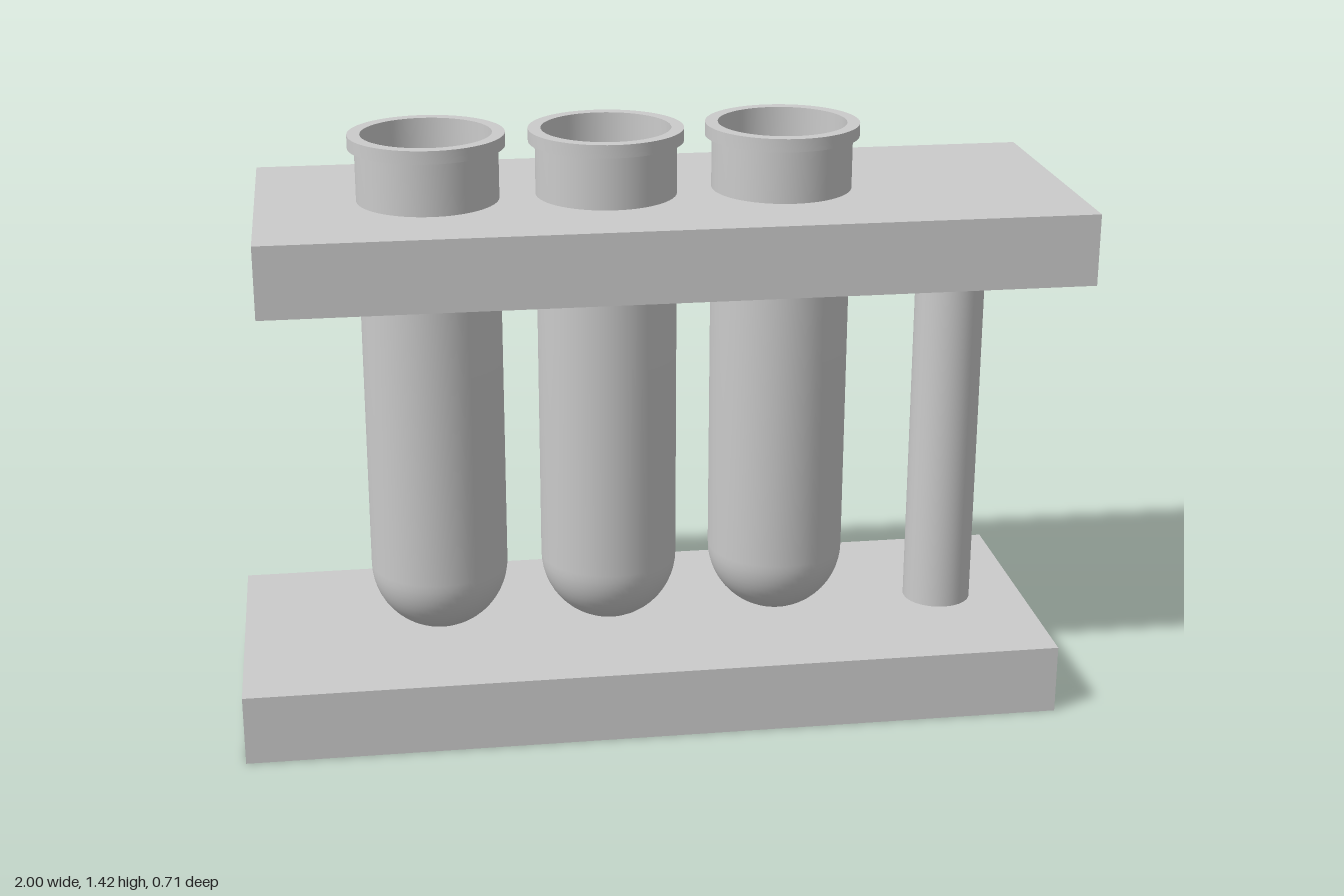
import * as THREE from 'three';
import { toCreasedNormals } from 'three/addons/utils/BufferGeometryUtils.js';

const material = new THREE.MeshStandardMaterial({ color: 0xcccccc });
const tubeX = [-0.515, -0.095, 0.325];
const tubeRadius = 0.167, wall = 0.014, rimRadius = 0.183;
const depth = 0.71, thickness = 0.17;
const shelfBottom = 1.09, tubeBottom = 0.175, tubeTop = 1.417;

function add(parent, name, geometry, x = 0, y = 0, z = 0) {
  const mesh = new THREE.Mesh(geometry, material);
  mesh.name = name;
  mesh.position.set(x, y, z);
  parent.add(mesh);
  return mesh;
}

// Slab with round holes for the tubes, lying flat with its underside at y = 0
function shelfGeometry(x0, x1) {
  const h = depth / 2;
  const shape = new THREE.Shape([
    new THREE.Vector2(x0, -h), new THREE.Vector2(x1, -h),
    new THREE.Vector2(x1, h), new THREE.Vector2(x0, h),
  ]);
  for (const x of tubeX) {
    shape.holes.push(new THREE.Path().absarc(x, 0, tubeRadius, 0, Math.PI * 2, true));
  }
  const geometry = new THREE.ExtrudeGeometry(shape, { depth: thickness, bevelEnabled: false, curveSegments: 24 });
  return geometry.rotateX(-Math.PI / 2);
}

// Hollow tube with a round bottom and a lipped mouth
function tubeGeometry() {
  const centreY = tubeBottom + tubeRadius;
  const inner = tubeRadius - wall;
  const steps = 14;
  const arc = (r) => Array.from({ length: steps + 1 }, (_, i) => {
    const a = (i / steps) * Math.PI / 2;
    return new THREE.Vector2(i === 0 ? 0 : r * Math.sin(a), centreY - r * Math.cos(a));
  });
  const profile = [
    ...arc(tubeRadius),
    new THREE.Vector2(tubeRadius, tubeTop - 0.031),
    new THREE.Vector2(rimRadius, tubeTop - 0.031),
    new THREE.Vector2(rimRadius, tubeTop),
    new THREE.Vector2(inner, tubeTop),
    ...arc(inner).reverse(),
  ];
  return toCreasedNormals(new THREE.LatheGeometry(profile, 64), Math.PI / 6);
}

export function createModel() {
  const model = new THREE.Group();
  model.name = 'testTubeRack';

  // Rack: base, offset shelf and the single post between them
  add(model, 'base', new THREE.BoxGeometry(1.965, thickness, depth), -0.0175, thickness / 2);
  add(model, 'shelf', shelfGeometry(-0.917, 1), 0, shelfBottom);
  const postHeight = shelfBottom - thickness;
  add(model, 'post', new THREE.CylinderGeometry(0.084, 0.084, postHeight, 48), 0.75, thickness + postHeight / 2);

  // Tubes hanging in the shelf
  const tube = tubeGeometry();
  const tubes = new THREE.Group();
  tubes.name = 'tubes';
  for (const x of tubeX) add(tubes, 'tube', tube, x);
  model.add(tubes);

  return model;
}
